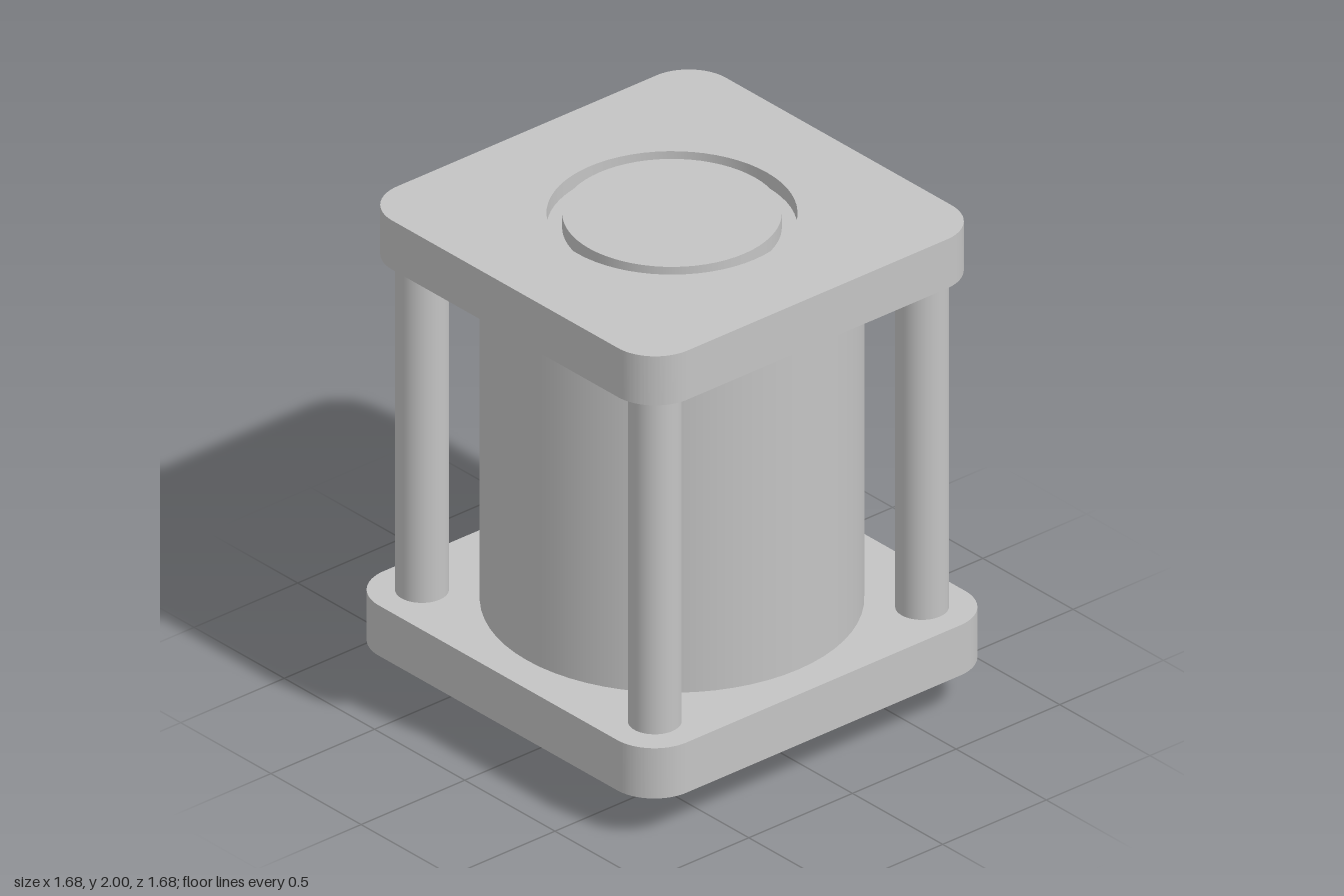
import * as THREE from 'three';
import { toCreasedNormals } from 'three/addons/utils/BufferGeometryUtils.js';

const steel = new THREE.MeshStandardMaterial({ color: 0xc4c4c4 });
steel.name = 'light grey metal';

function addMesh(parent, name, geometry) {
  const mesh = new THREE.Mesh(geometry, steel);
  mesh.name = name;
  parent.add(mesh);
  return mesh;
}

// Upright cylinder between two heights
function addCylinder(parent, name, radius, y0, y1, x = 0, z = 0) {
  const geometry = new THREE.CylinderGeometry(radius, radius, y1 - y0, 64);
  addMesh(parent, name, geometry).position.set(x, (y0 + y1) / 2, z);
}

// Square plate with rounded corners and an optional round bore
function addPlate(parent, name, half, corner, y0, y1, bore = 0) {
  const inner = half - corner;
  const shape = new THREE.Shape();
  shape.absarc(inner, inner, corner, 0, Math.PI / 2);
  shape.absarc(-inner, inner, corner, Math.PI / 2, Math.PI);
  shape.absarc(-inner, -inner, corner, Math.PI, Math.PI * 1.5);
  shape.absarc(inner, -inner, corner, Math.PI * 1.5, Math.PI * 2);
  shape.closePath();
  if (bore) shape.holes.push(new THREE.Path().absarc(0, 0, bore, 0, Math.PI * 2, true));
  const geometry = new THREE.ExtrudeGeometry(shape, { depth: y1 - y0, bevelEnabled: false, curveSegments: 32 });
  geometry.rotateX(-Math.PI / 2);
  addMesh(parent, name, toCreasedNormals(geometry, Math.PI / 6)).position.y = y0;
}

export function createModel() {
  const model = new THREE.Group();
  model.name = 'flanged cylinder';

  // Bottom boss and base plate
  addCylinder(model, 'bottomBoss', 0.28, 0, 0.18);
  addPlate(model, 'basePlate', 0.84, 0.18, 0.18, 0.39);

  // Main barrel
  addCylinder(model, 'barrel', 0.7, 0.39, 1.795);

  // Four corner tie rods
  for (const x of [-1, 1]) {
    for (const z of [-1, 1]) {
      addCylinder(model, 'tieRod', 0.098, 0.39, 1.795, x * 0.645, z * 0.645);
    }
  }

  // Top plate with a shallow ring groove around a flush disc
  addPlate(model, 'topPlate', 0.805, 0.18, 1.795, 2, 0.457);
  addCylinder(model, 'grooveFloor', 0.457, 1.795, 1.94);
  addCylinder(model, 'topDisc', 0.4, 1.94, 2);

  return model;
}
